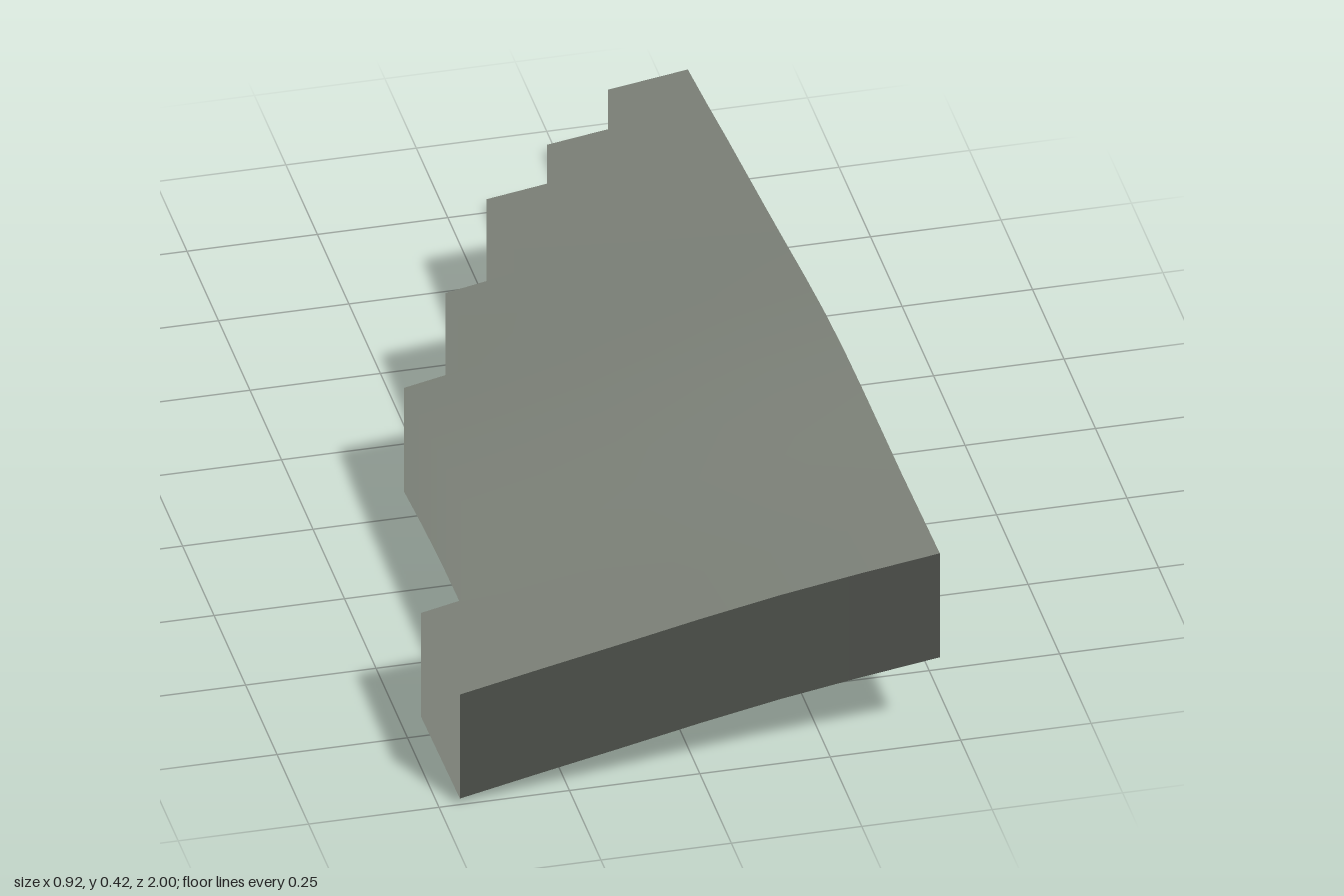
import * as THREE from 'three';

const COLS = 6, ROWS = 13;
const CELL_X = 0.92 / COLS, CELL_Z = 2 / ROWS;
const THICK = 0.229;

// First occupied row (counted from the back) in each column
const START = [11, 6, 4, 2, 1, 0];
// Height along the front edge, left to right
const FRONT = [0.244, 0.277, 0.309, 0.342, 0.372, 0.397, 0.419];
// Drop from the front edge, back to front, and its strength per column line
const DROP = [0.159, 0.141, 0.121, 0.103, 0.085, 0.066, 0.046, 0.029, 0.018, 0.0135, 0.0115, 0.01, 0.005, 0];
const STRENGTH = [0.85, 0.86, 0.87, 0.92, 0.98, 1, 1];

const clamp = THREE.MathUtils.clamp;
const height = (i, j) => FRONT[i] - DROP[j] * STRENGTH[i];
const filled = (i, j) => i >= 0 && i < COLS && j < ROWS && j >= START[i];

const point = (i, j, drop = 0) =>
  [-0.46 + i * CELL_X, height(i, j) - drop, -1 + j * CELL_Z];

// Smooth terrain normal from neighbouring heights
function normal(i, j) {
  const i0 = clamp(i - 1, 0, COLS), i1 = clamp(i + 1, 0, COLS);
  const j0 = clamp(j - 1, 0, ROWS), j1 = clamp(j + 1, 0, ROWS);
  const sx = (height(i1, j) - height(i0, j)) / ((i1 - i0) * CELL_X);
  const sz = (height(i, j1) - height(i, j0)) / ((j1 - j0) * CELL_Z);
  return new THREE.Vector3(-sx, 1, -sz).normalize().toArray();
}

// Mesh from quads whose corners are [column line, row line, drop]
function quadMesh(name, quads, material) {
  const pos = [], nor = [], index = [];
  for (const quad of quads) {
    const n = pos.length / 3;
    for (const [i, j, drop] of quad) {
      pos.push(...point(i, j, drop));
      nor.push(...normal(i, j));
    }
    index.push(n, n + 1, n + 2, n, n + 2, n + 3);
  }
  const geo = new THREE.BufferGeometry();
  geo.setAttribute('position', new THREE.Float32BufferAttribute(pos, 3));
  geo.setAttribute('normal', new THREE.Float32BufferAttribute(nor, 3));
  geo.setIndex(index);
  const mesh = new THREE.Mesh(geo, material);
  mesh.name = name;
  return mesh;
}

export function createModel() {
  const group = new THREE.Group();
  group.name = 'steppedTerrain';
  const stone = new THREE.MeshStandardMaterial({ color: 0x7d8279, side: THREE.DoubleSide });
  stone.name = 'greyGreenStone';

  const top = [], skirt = [];
  for (let i = 0; i < COLS; i++) {
    for (let j = START[i]; j < ROWS; j++) {
      // Cell corners counter-clockwise from above
      const c = [[i, j], [i, j + 1], [i + 1, j + 1], [i + 1, j]];
      top.push(c.map(([a, b]) => [a, b, 0]));

      // A wall hangs from every edge without a neighbour; the underside is open
      const neighbours = [[i - 1, j], [i, j + 1], [i + 1, j], [i, j - 1]];
      neighbours.forEach(([a, b], k) => {
        if (filled(a, b)) return;
        const p = c[k], q = c[(k + 1) % 4];
        skirt.push([[...p, 0], [...p, THICK], [...q, THICK], [...q, 0]]);
      });
    }
  }
  group.add(quadMesh('groundSurface', top, stone), quadMesh('skirtWalls', skirt, stone));
  return group;
}
